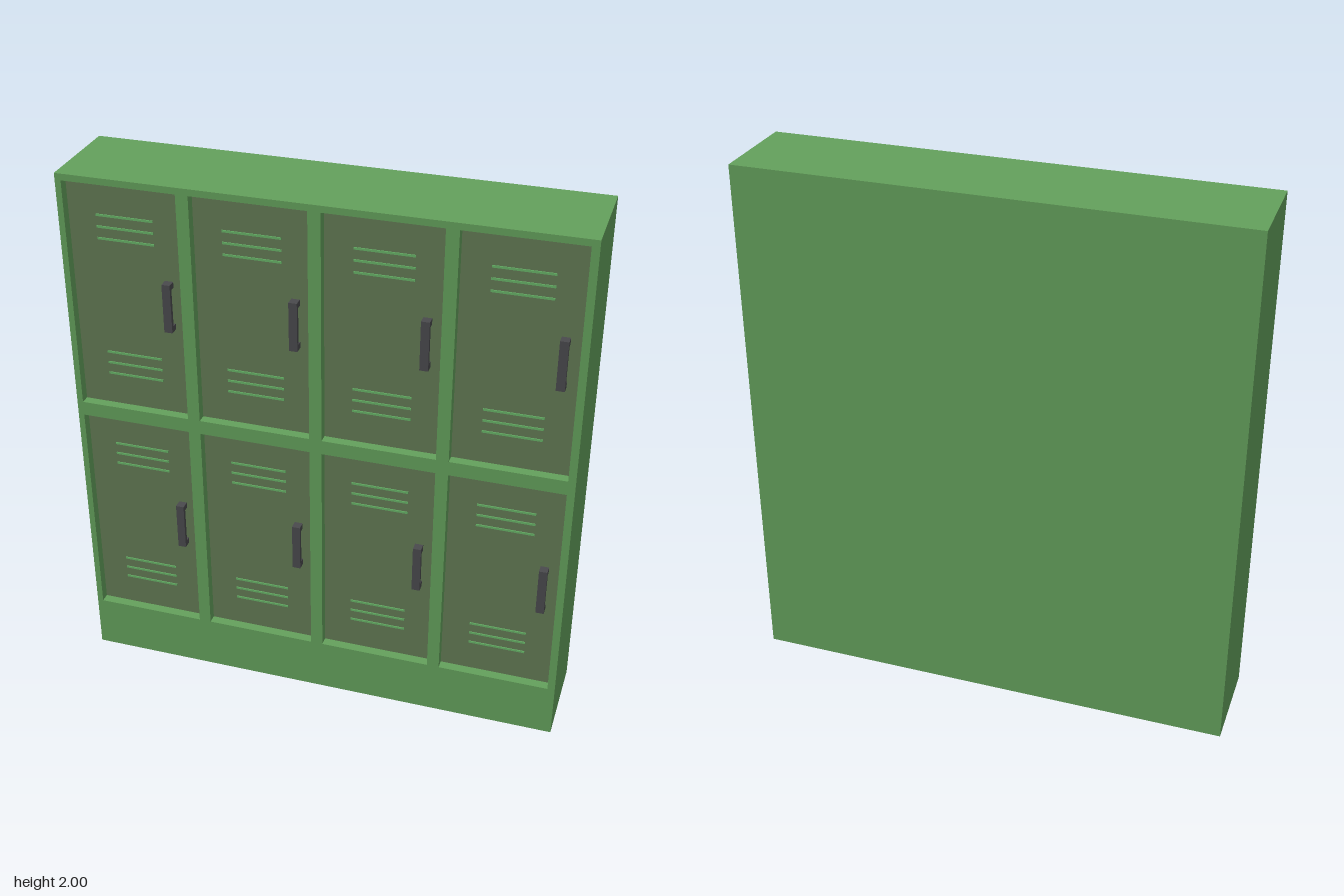
import * as THREE from 'three';

const W = 1.824, H = 2, FRONT = 0.18;
const FRAME = 0.05;            // depth of the face frame
const DOOR = 0.015;            // door thickness, set at the back of the frame
const BACK = FRONT - FRAME;    // front plane of the carcass
const DOOR_W = 0.41, DOOR_H = 0.858;
const columns = [-0.685, -0.23, 0.225, 0.68];
const rows = [0.635, 1.547];

const material = (color) => new THREE.MeshStandardMaterial({ color });
const green = material(0x64a15c);
const doorColor = material(0x627a54);
const ventColor = material(0x68b468);
const handleColor = material(0x4a4a4d);

function box(name, mat, w, h, d, x, y, z, parent) {
  const mesh = new THREE.Mesh(new THREE.BoxGeometry(w, h, d), mat);
  mesh.name = name;
  mesh.position.set(x, y, z);
  parent.add(mesh);
  return mesh;
}

function rectangle(path, cx, cy, w, h) {
  path.moveTo(cx - w / 2, cy - h / 2);
  path.lineTo(cx + w / 2, cy - h / 2);
  path.lineTo(cx + w / 2, cy + h / 2);
  path.lineTo(cx - w / 2, cy + h / 2);
  path.closePath();
  return path;
}

// Door with vent slats and a pull handle; its origin is the centre of its front face
function createDoor() {
  const door = new THREE.Group();
  door.name = 'lockerDoor';
  box('doorPanel', doorColor, DOOR_W, DOOR_H, DOOR, 0, 0, -DOOR / 2, door);

  // Three slats near the top and three near the bottom
  for (const middle of [0.262, -0.264]) {
    for (const step of [-1, 0, 1]) {
      box('ventSlat', ventColor, 0.208, 0.008, 0.004, 0, middle + step * 0.043, 0.001, door);
    }
  }

  // Upright grip on two stand-offs
  const handle = new THREE.Group();
  handle.name = 'handle';
  handle.position.set(0.15, 0, 0);
  box('handleGrip', handleColor, 0.03, 0.182, 0.014, 0, 0, 0.026, handle);
  for (const side of [-1, 1]) {
    box('handleMount', handleColor, 0.03, 0.022, 0.02, 0, side * 0.08, 0.01, handle);
  }
  door.add(handle);
  return door;
}

export function createModel() {
  const model = new THREE.Group();
  model.name = 'lockerBank';

  // Solid carcass behind the doors
  box('carcass', green, W, H, BACK + FRONT, 0, H / 2, (BACK - FRONT) / 2, model);

  // Face frame with an opening for every door
  const outline = rectangle(new THREE.Shape(), 0, H / 2, W, H);
  for (const y of rows) {
    for (const x of columns) {
      outline.holes.push(rectangle(new THREE.Path(), x, y, DOOR_W, DOOR_H));
    }
  }
  const frame = new THREE.Mesh(
    new THREE.ExtrudeGeometry(outline, { depth: FRAME, bevelEnabled: false }), green);
  frame.name = 'faceFrame';
  frame.position.z = BACK;
  model.add(frame);

  // Doors in two rows of four
  for (const y of rows) {
    for (const x of columns) {
      const door = createDoor();
      door.position.set(x, y, BACK + DOOR);
      model.add(door);
    }
  }
  return model;
}
